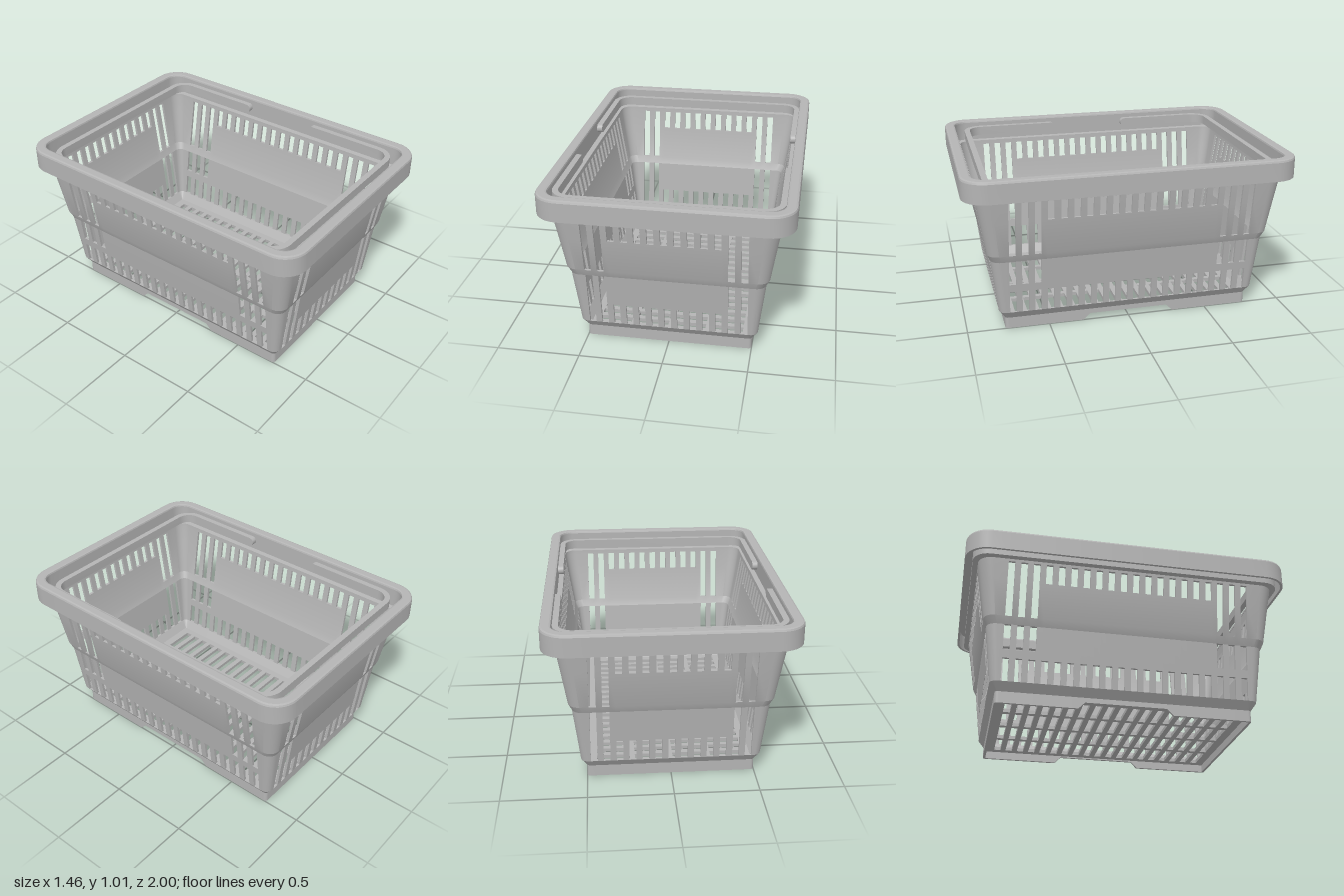
import * as THREE from 'three';
import { toCreasedNormals } from 'three/addons/utils/BufferGeometryUtils.js';

const EXTRA = 0.27;   // how much longer the basket is than wide (half sizes)
const PITCH = 0.076;  // slot spacing
const SLOT = 0.04;    // slot width
const WALL = 0.016;   // wall thickness
const ARC = 8;        // segments per rounded corner

// Collects quads and turns them into a geometry
function quadBuilder() {
  const pos = [];
  return {
    quad(a, b, c, d) { for (const p of [a, b, c, a, c, d]) pos.push(...p); },
    geometry() {
      const g = new THREE.BufferGeometry();
      g.setAttribute('position', new THREE.Float32BufferAttribute(pos, 3));
      return toCreasedNormals(g, 0.27);
    },
  };
}

// Columns around the basket: slot edges on each side, then a rounded corner
function perimeter() {
  const cols = [];
  for (let side = 0; side < 4; side++) {
    const long = side % 2 === 0, count = long ? 20 : 13, tall = long ? 3 : 2;
    for (let i = 0; i < count; i++) {
      const u = (i - (count - 1) / 2) * PITCH;
      const slot = i < tall || i >= count - tall ? 'tall' : 'short';
      cols.push({ side, long, u: u - SLOT / 2, slot }, { side, long, u: u + SLOT / 2 });
    }
    for (let i = 0; i <= ARC; i++) cols.push({ side, angle: (side + i / ARC) * Math.PI / 2 });
  }
  return cols;
}

// Point of a column on a rounded rectangle with half width a and corner radius r
function pointAt(col, a, y, r) {
  const b = a + EXTRA, base = col.side * Math.PI / 2;
  if (col.angle === undefined) {
    const c = Math.round(Math.cos(base)), s = Math.round(Math.sin(base));
    const h = col.long ? a : b;
    return [c * h - s * col.u, y, s * h + c * col.u];
  }
  const mid = base + Math.PI / 4;
  return [
    Math.sign(Math.cos(mid)) * (a - r) + Math.cos(col.angle) * r, y,
    Math.sign(Math.sin(mid)) * (b - r) + Math.sin(col.angle) * r,
  ];
}

// Skin over columns that each hold a closed section (outside up, inside down)
function skin(cols, closed) {
  const q = quadBuilder(), n = cols[0].length;
  for (let j = 0; j < cols.length - (closed ? 0 : 1); j++) {
    const A = cols[j], B = cols[(j + 1) % cols.length];
    for (let i = 0; i < n; i++) q.quad(A[i], A[(i + 1) % n], B[(i + 1) % n], B[i]);
  }
  if (!closed) {
    q.quad(...[...cols[0]].reverse());
    q.quad(...cols[cols.length - 1]);
  }
  return q.geometry();
}

// Height ranges that are cut open
const OPEN = {
  short: [[0.12, 0.26], [0.73, 0.85]],
  tallEnd: [[0.12, 0.465], [0.51, 0.85]],
  tallSide: [[0.12, 0.26], [0.31, 0.465], [0.51, 0.85]],
};

// Slotted walls with the skirt at the foot and the step under the rim
function wallGeometry() {
  // y, half width, corner radius
  const levels = [
    [0, 0.5, 0.02], [0.07, 0.5, 0.02], [0.12, 0.535, 0.045], [0.26, 0.551, 0.05],
    [0.31, 0.557, 0.053], [0.465, 0.575, 0.06], [0.51, 0.595, 0.065], [0.73, 0.629, 0.078],
    [0.85, 0.648, 0.085], [0.865, 0.65, 0.085], [0.868, 0.682, 0.1], [0.99, 0.682, 0.1],
  ];
  const cols = perimeter(), last = levels.length - 1;
  const footY = (c, y) => (y === 0 && c.long && Math.abs(c.u) < 0.25 ? 0.04 : y);
  const O = cols.map(c => levels.map(([y, a, r]) => pointAt(c, a, footY(c, y), r)));
  const I = cols.map(c => levels.map(([y, a, r]) =>
    pointAt(c, a - WALL, footY(c, y) + (y > 0.86 ? 0.012 : 0), r - WALL)));
  const isOpen = (c, i) => {
    if (!c.slot || i < 0 || i >= last) return false;
    const y = (levels[i][0] + levels[i + 1][0]) / 2;
    const kind = c.slot === 'short' ? 'short' : c.long ? 'tallSide' : 'tallEnd';
    return OPEN[kind].some(([lo, hi]) => y > lo && y < hi);
  };
  const q = quadBuilder();
  cols.forEach((c, j) => {
    const k = (j + 1) % cols.length;
    for (let i = 0; i < last; i++) {
      if (!isOpen(c, i)) {
        q.quad(O[j][i], O[j][i + 1], O[k][i + 1], O[k][i]);
        q.quad(I[j][i], I[k][i], I[k][i + 1], I[j][i + 1]);
        continue;
      }
      // slot cheeks, sill and head
      q.quad(O[j][i], O[j][i + 1], I[j][i + 1], I[j][i]);
      q.quad(O[k][i], I[k][i], I[k][i + 1], O[k][i + 1]);
      if (!isOpen(c, i - 1)) q.quad(O[j][i], I[j][i], I[k][i], O[k][i]);
      if (!isOpen(c, i + 1)) q.quad(O[j][i + 1], O[k][i + 1], I[k][i + 1], I[j][i + 1]);
    }
    q.quad(O[j][0], O[k][0], I[k][0], I[j][0]);
    q.quad(O[j][last], I[j][last], I[k][last], O[k][last]);
  });
  return q.geometry();
}

// Hollow rim hooked over the top of the walls
function rimGeometry() {
  const profile = [
    [0.73, 0.88], [0.73, 0.996], [0.726, 1.006], [0.716, 1.01], [0.676, 1.01],
    [0.667, 1.007], [0.664, 0.998], [0.664, 0.985], [0.715, 0.985], [0.715, 0.88],
  ];
  return skin(perimeter().map(c => profile.map(([a, y]) => pointAt(c, a, y, a - 0.58))), true);
}

// Floor grating
function floorGeometry() {
  const rect = (path, x, z, w, d) => path
    .moveTo(x - w / 2, z - d / 2).lineTo(x + w / 2, z - d / 2)
    .lineTo(x + w / 2, z + d / 2).lineTo(x - w / 2, z + d / 2).closePath();
  const shape = new THREE.Shape();
  rect(shape, 0, 0, 0.984, 1.524);
  for (const x of [-0.342, -0.114, 0.114, 0.342]) {
    for (let i = -9; i <= 9; i++) {
      const hole = new THREE.Path();
      rect(hole, x, i * 0.0755, 0.197, 0.042);
      shape.holes.push(hole);
    }
  }
  return new THREE.ExtrudeGeometry(shape, { depth: 0.022, bevelEnabled: false })
    .rotateX(-Math.PI / 2).translate(0, 0.048, 0);
}

// Folded U-shaped handle resting just inside the rim
function handleGeometry() {
  const X = 0.647, Z = 0.855, R = 0.1, W = 0.0175, H = 0.028, Y = 0.945;
  const half = [];
  for (let i = 0; i <= 6; i++) { // rounded arm end
    const p = 0.1 + (i / 6) * (Math.PI / 2 - 0.1);
    half.push({ x: X, z: 0.24 + H * (1 - Math.cos(p)), t: 0, h: H * Math.sin(p) });
  }
  for (let i = 0; i <= ARC; i++) { // corner
    const t = (i / ARC) * Math.PI / 2;
    half.push({ x: X - R + R * Math.cos(t), z: Z - R + R * Math.sin(t), t, h: H });
  }
  const mirrored = half.map(s => ({ ...s, x: -s.x, t: Math.PI - s.t })).reverse();
  return skin([...half, ...mirrored].map(({ x, z, t, h }) => {
    const dx = W * Math.cos(t), dz = W * Math.sin(t);
    return [
      [x + dx, Y - h, z + dz], [x + dx, Y + h, z + dz],
      [x - dx, Y + h, z - dz], [x - dx, Y - h, z - dz],
    ];
  }), false);
}

export function createModel() {
  const grey = new THREE.MeshStandardMaterial({ color: 0xb4b4b4 });
  grey.name = 'grey plastic';
  const basket = new THREE.Group();
  basket.name = 'basket';
  const add = (name, geometry) => {
    const mesh = new THREE.Mesh(geometry, grey);
    mesh.name = name;
    basket.add(mesh);
    return mesh;
  };
  add('walls', wallGeometry());
  add('rim', rimGeometry());
  add('floor', floorGeometry());
  const handle = handleGeometry();
  add('frontHandle', handle);
  add('backHandle', handle).rotation.y = Math.PI;
  return basket;
}
